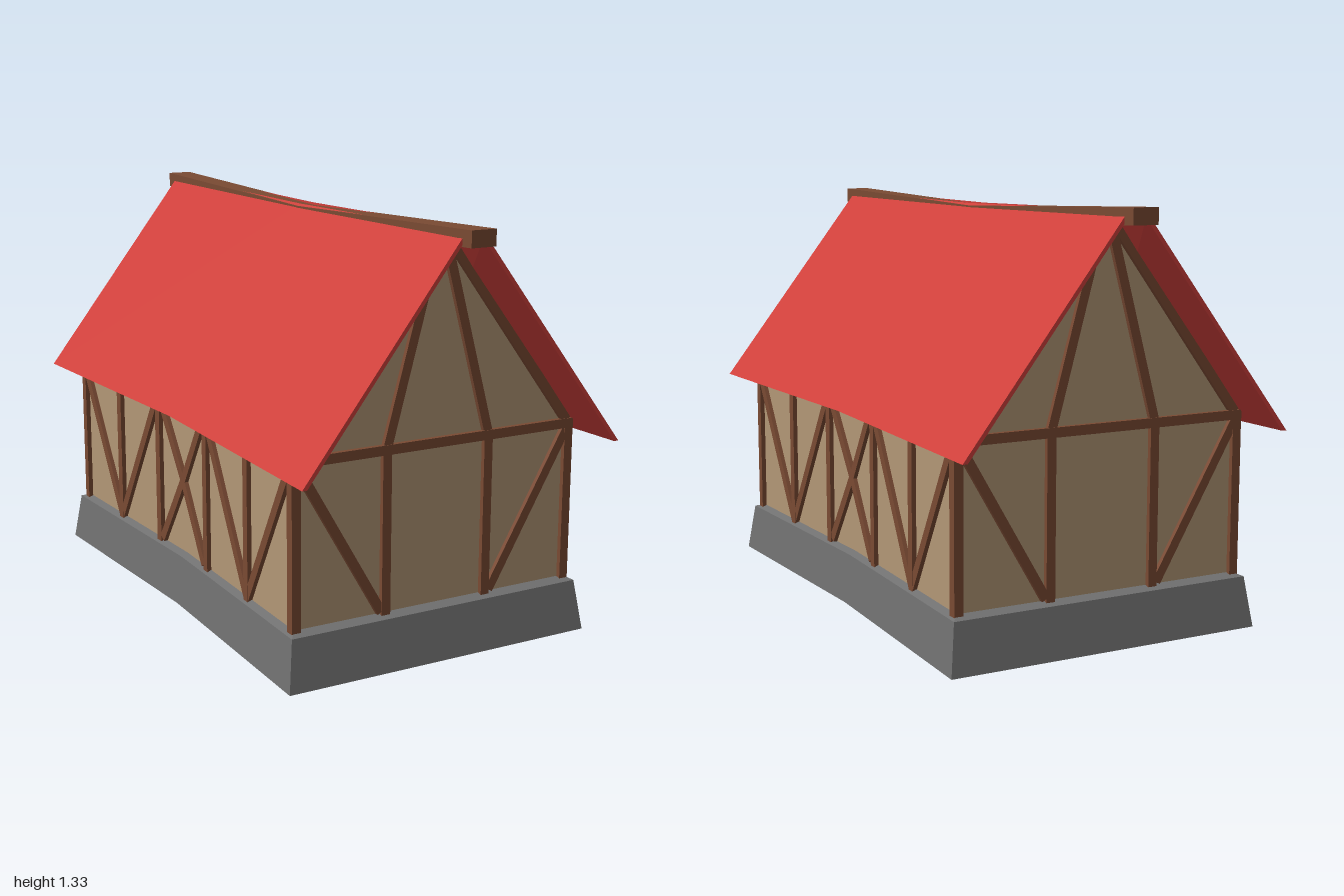
import * as THREE from 'three';

const flat = (name, color) => {
  const m = new THREE.MeshStandardMaterial({ color, side: THREE.DoubleSide });
  m.name = name;
  return m;
};

// Narrow a geometry towards z = 0 and let its upper part sag there
function warp(geo, end, pinch, sag = () => 0) {
  const g = geo.index ? geo.toNonIndexed() : geo;
  const p = g.attributes.position;
  for (let i = 0; i < p.count; i++) {
    const t = 1 - Math.abs(p.getZ(i)) / end;
    const y = p.getY(i);
    p.setXYZ(i, p.getX(i) * (1 - pinch * t), y - sag(y) * t, p.getZ(i));
  }
  g.computeVertexNormals();
  return g;
}

export function createModel() {
  const model = new THREE.Group();
  model.name = 'timberHouse';
  const wood = flat('wood', 0x7a4a33);
  const plaster = flat('plaster', 0xb39776);
  const stone = flat('stone', 0x707070);
  const tile = flat('roofRed', 0xd0403b);

  const WX = 0.485, WZ = 0.785, BODY_PINCH = 0.057;
  const add = (name, geo, mat, parent = model) => {
    const mesh = new THREE.Mesh(geo, mat);
    mesh.name = name;
    parent.add(mesh);
    return mesh;
  };
  const body = (geo) => warp(geo, WZ, BODY_PINCH);

  // Stone footing: open loft of rings, each given as half width, half depth, height
  const rings = [[0.53, 0.845, 0], [0.51, 0.82, 0.16], [WX, WZ, 0.17]];
  const corners = [[1, 1], [1, 0], [1, -1], [-1, -1], [-1, 0], [-1, 1]];
  const pos = [], idx = [];
  rings.forEach(([w, d, y]) => corners.forEach(([sx, sz]) => pos.push(sx * w, y, sz * d)));
  for (let r = 0; r < rings.length - 1; r++) {
    for (let i = 0; i < 6; i++) {
      const a = r * 6 + i, b = r * 6 + (i + 1) % 6;
      idx.push(a, b, b + 6, a, b + 6, a + 6);
    }
  }
  const footing = new THREE.BufferGeometry();
  footing.setAttribute('position', new THREE.Float32BufferAttribute(pos, 3));
  footing.setIndex(idx);
  add('footing', body(footing), stone);

  // Plaster walls
  const gableShape = new THREE.Shape([
    [-WX, 0.17], [WX, 0.17], [WX, 0.7], [0.02, 1.29], [-0.02, 1.29], [-WX, 0.7],
  ].map(([x, y]) => new THREE.Vector2(x, y)));
  for (const s of [1, -1]) {
    const gable = new THREE.ShapeGeometry(gableShape);
    if (s < 0) gable.rotateY(Math.PI);
    add('gableWall', gable.translate(0, 0, s * WZ), plaster);
    const side = new THREE.PlaneGeometry(2 * WZ, 0.53, 2, 1)
      .rotateY(s * Math.PI / 2).translate(s * WX, 0.435, 0);
    add('sideWall', body(side), plaster);
  }

  // Timber between two points of a wall plane
  const timber = ([x0, y0, x1, y1, depth = 0.028]) => new THREE.BoxGeometry(
    Math.hypot(x1 - x0, y1 - y0), 0.03, depth, 4, 1, 1)
    .rotateZ(Math.atan2(y1 - y0, x1 - x0))
    .translate((x0 + x1) / 2, (y0 + y1) / 2, 0);
  const mirrored = (list) => list.flatMap(([a, b, c, d, e]) => [[a, b, c, d, e], [-a, b, -c, d, e]]);

  const gableTimbers = [
    [-0.5, 0.675, 0.5, 0.675, 0.032],
    ...mirrored([
      [WX, 0.163, WX, 0.69, 0.03],      // corner post
      [0.18, 0.163, 0.18, 0.67, 0.03],  // inner post
      [0.475, 0.655, 0.195, 0.178],     // lower brace
      [0.18, 0.68, 0.015, 1.28],        // upper brace
      [0.478, 0.685, 0.025, 1.283],     // rafter
    ]),
  ];
  const sideTimbers = mirrored([
    [0.485, 0.163, 0.485, 0.7, 0.03],
    [0.18, 0.163, 0.18, 0.7, 0.03],
    [0.775, 0.66, 0.49, 0.178],
    [0.19, 0.66, 0.48, 0.178],
    [0.16, 0.66, -0.16, 0.178],
  ]);
  for (const s of [1, -1]) {
    const gableFrame = new THREE.Group();
    gableFrame.name = 'gableFrame';
    gableTimbers.forEach((t) => add('gableTimber', timber(t).translate(0, 0, s * WZ), wood, gableFrame));
    const sideFrame = new THREE.Group();
    sideFrame.name = 'sideFrame';
    sideTimbers.forEach((t) => add('sideTimber',
      body(timber(t).rotateY(Math.PI / 2).translate(s * WX, 0, 0)), wood, sideFrame));
    model.add(gableFrame, sideFrame);
  }

  // Roof slopes, pinched and sagging towards the middle
  for (const s of [1, -1]) {
    const section = new THREE.Shape([
      [0.553, 0.645], [0.03, 1.318], [0.03, 1.298], [0.537, 0.645],
    ].map(([x, y]) => new THREE.Vector2(s * x, y)));
    const slope = new THREE.ExtrudeGeometry(section, { depth: 1.91, steps: 2, bevelEnabled: false })
      .translate(0, 0, -0.955);
    add('roofSlope', warp(slope, 0.955, 0.07, (y) => 0.01 * (y - 0.645) / 0.67), tile);
  }

  // Ridge beam
  const ridge = new THREE.BoxGeometry(0.084, 0.05, 2, 1, 1, 2).translate(0, 1.305, 0);
  add('ridgeBeam', warp(ridge, 1, 0.1, () => 0.03), wood);

  return model;
}
